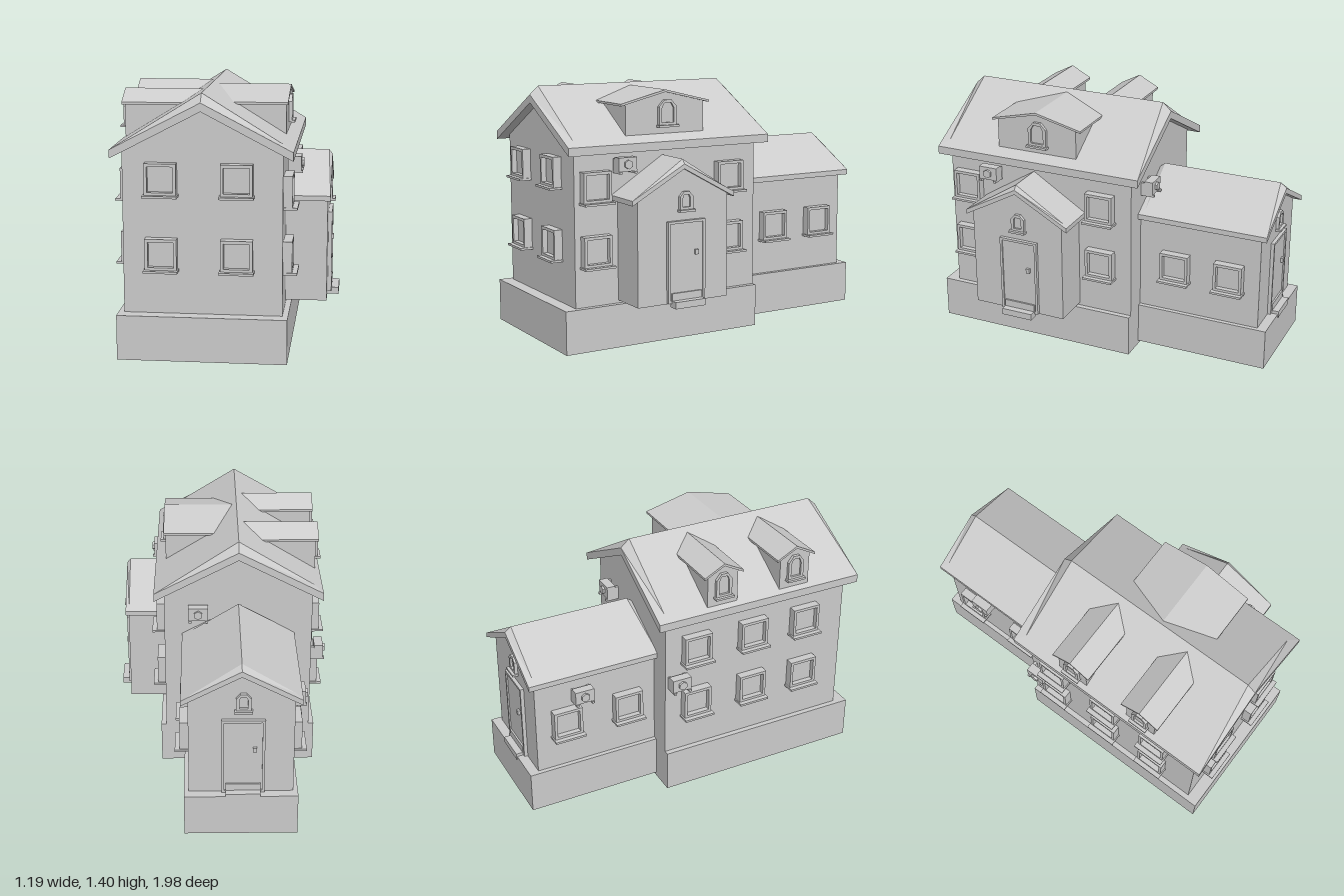
import * as THREE from 'three';

const material = new THREE.MeshStandardMaterial({ color: 0xcccccc, flatShading: true });

function mesh(geometry, name, x = 0, y = 0, z = 0) {
  const m = new THREE.Mesh(geometry, material);
  m.name = name;
  m.position.set(x, y, z);
  return m;
}

// Box spanning two opposite corners
function box(name, x0, x1, y0, y1, z0, z1) {
  return mesh(new THREE.BoxGeometry(x1 - x0, y1 - y0, z1 - z0), name,
    (x0 + x1) / 2, (y0 + y1) / 2, (z0 + z1) / 2);
}

function group(name, ...children) {
  const g = new THREE.Group();
  g.name = name;
  g.add(...children);
  return g;
}

// Every part is made facing +z, then turned towards its wall
const FRONT = 0, LEFT = Math.PI / 2, BACK = Math.PI, RIGHT = -Math.PI / 2;
function place(part, x, y, z, facing) {
  part.position.set(x, y, z);
  part.rotation.y = facing;
  return part;
}

function extrude(points, depth, hole) {
  const shape = new THREE.Shape(points.map(p => new THREE.Vector2(...p)));
  if (hole) shape.holes.push(new THREE.Path(hole.map(p => new THREE.Vector2(...p))));
  return new THREE.ExtrudeGeometry(shape, { depth, bevelEnabled: false });
}

// Gable roof slab from z = 0 back to z = -length; top edges bevelled by inset
function roof({ half, length, apex, drop = 0, under, eaveTop, eaveBottom, inset = 0 }) {
  const apexEnd = apex - drop;
  const rise = eaveTop + (apex - eaveTop) * inset / half;
  const section = (z, top, x, y) => [
    [-half, eaveBottom, z], [-half, eaveTop, z], [-x, y, z], [0, top, z],
    [x, y, z], [half, eaveTop, z], [half, eaveBottom, z], [0, under, z]];
  const end = z => section(z, apexEnd, half, eaveTop);
  const mid = z => section(z, apex, half - inset, rise);
  const sections = [end(0), mid(-inset), mid(-length + inset), end(-length)];
  const pos = [];
  const quad = (a, b, c, d) => pos.push(...a, ...b, ...c, ...a, ...c, ...d);
  for (let i = 0; i < 3; i++) {
    for (let j = 0; j < 8; j++) {
      const k = (j + 1) % 8, s = sections[i], t = sections[i + 1];
      quad(s[j], s[k], t[k], t[j]);
    }
  }
  for (const ids of [[0, 7, 3, 1], [7, 6, 5, 3]]) {
    quad(...ids.map(i => sections[0][i]));
    quad(...[...ids].reverse().map(i => sections[3][i]));
  }
  const g = new THREE.BufferGeometry();
  g.setAttribute('position', new THREE.Float32BufferAttribute(pos, 3));
  g.computeVertexNormals();
  return mesh(g, 'roof');
}

// Gabled wall block with its roof; front wall at z = 0, roof overhangs it
function gabledBlock(name, { wallHalf, depth, base, overhang, ...r }) {
  const wallTop = r.under - (r.under - r.eaveBottom) * wallHalf / r.half;
  const walls = mesh(extrude([[-wallHalf, base], [wallHalf, base], [wallHalf, wallTop],
    [0, r.under], [-wallHalf, wallTop]], depth), 'walls', 0, 0, -depth);
  const top = roof(r);
  top.position.z = overhang;
  return group(name, walls, top);
}

const square = h => [[-h, -h], [h, -h], [h, h], [-h, h]];

// Square window, centred
function squareWindow() {
  return group('window',
    mesh(extrude(square(0.083), 0.047, square(0.067)), 'windowFrame'),
    box('windowPane', -0.07, 0.07, -0.07, 0.07, -0.01, 0.018),
    box('windowSill', -0.09, 0.09, -0.093, -0.081, 0, 0.073));
}

// Small window with a pointed top, standing on y = 0
function pointedWindow(w, h) {
  const outline = t => [[-w / 2 + t, t], [w / 2 - t, t], [w / 2 - t, h * 0.74 - t / 2],
    [w * 0.2, h - t], [-w * 0.2, h - t], [-w / 2 + t, h * 0.74 - t / 2]];
  return group('gableWindow',
    mesh(extrude(outline(0), 0.018, outline(0.017)), 'windowFrame'),
    mesh(extrude(outline(0.01), 0.006), 'windowPane'),
    box('windowSill', -w / 2 - 0.008, w / 2 + 0.008, -0.008, 0.004, 0, 0.034));
}

// Door with frame, knob and step
function door() {
  const frame = t => [[-0.115, 0.26], [0.115, 0.26], [0.115, 0.705], [-0.115, 0.705]]
    .map(([x, y]) => [x - Math.sign(x) * t, y > 0.5 ? y - t : y + t]);
  return group('door',
    mesh(extrude(frame(0), 0.02, frame(0.014)), 'doorFrame'),
    mesh(extrude(frame(0.01), 0.012), 'doorPanel'),
    box('doorKnob', 0.05, 0.072, 0.515, 0.542, 0.01, 0.027),
    box('upperStep', -0.093, 0.093, 0.25, 0.315, 0, 0.022),
    box('lowerStep', -0.093, 0.093, 0.238, 0.275, 0, 0.06));
}

// Wall-mounted air conditioner with a six-sided fan
function airConditioner() {
  const fan = new THREE.CylinderGeometry(0.025, 0.025, 0.02, 6);
  fan.rotateX(Math.PI / 2);
  const unit = group('airConditioner',
    box('casing', -0.055, 0.055, -0.035, 0.04, 0.02, 0.07),
    mesh(fan, 'fan', 0, 0.003, 0.073));
  for (const s of [-1, 1]) {
    unit.add(box('bracketArm', s * 0.045 - 0.008, s * 0.045 + 0.008, -0.047, -0.035, 0, 0.078),
      box('bracketPlate', s * 0.045 - 0.008, s * 0.045 + 0.008, -0.047, 0.03, 0, 0.022));
  }
  return unit;
}

export function createModel() {
  const house = new THREE.Group();
  house.name = 'house';
  const cx = -0.1;

  // Foundations
  house.add(box('mainFoundation', -0.545, 0.345, 0, 0.24, -0.21, 0.997),
    box('wingFoundation', cx - 0.305, cx + 0.305, 0.02, 0.257, -0.98, -0.2));

  // Main block, rear wing and side porch
  house.add(place(gabledBlock('mainBlock', {
    wallHalf: 0.415, depth: 1.135, base: 0.23, overhang: 0.055, half: 0.47, length: 1.25,
    apex: 1.4, drop: 0.045, under: 1.31, eaveTop: 1.11, eaveBottom: 1.065, inset: 0.05,
  }), cx, 0, 0.925, FRONT));
  house.add(place(gabledBlock('rearWing', {
    wallHalf: 0.28, depth: 0.73, base: 0.25, overhang: 0.04, half: 0.317, length: 0.76,
    apex: 1.035, drop: 0.028, under: 0.975, eaveTop: 0.838, eaveBottom: 0.808, inset: 0.035,
  }), cx, 0, -0.925, BACK));
  house.add(place(gabledBlock('sidePorch', {
    wallHalf: 0.278, depth: 0.26, base: 0.256, overhang: 0.015, half: 0.315, length: 0.27,
    apex: 1.033, drop: 0.025, under: 0.982, eaveTop: 0.835, eaveBottom: 0.808, inset: 0.02,
  }), 0.535, 0, 0.39, LEFT));

  // Dormers
  house.add(place(gabledBlock('wideDormer', {
    wallHalf: 0.243, depth: 0.34, base: 1.13, overhang: 0.01, half: 0.275, length: 0.4,
    apex: 1.385, under: 1.372, eaveTop: 1.318, eaveBottom: 1.306,
  }), 0.31, 0, 0.37, LEFT));
  house.add(place(pointedWindow(0.11, 0.14), 0.31, 1.19, 0.36, LEFT));
  for (const z of [0.12, 0.57]) {
    house.add(place(gabledBlock('narrowDormer', {
      wallHalf: 0.092, depth: 0.38, base: 1.11, overhang: 0.015, half: 0.118, length: 0.43,
      apex: 1.378, under: 1.364, eaveTop: 1.316, eaveBottom: 1.303,
    }), -0.542, 0, z, RIGHT));
    house.add(place(pointedWindow(0.095, 0.14), -0.542, 1.18, z, RIGHT));
  }

  // Main block windows
  const addWindow = (x, y, z, facing) => house.add(place(squareWindow(), x, y, z, facing));
  for (const y of [0.562, 0.957]) {
    for (const x of [-0.313, 0.08]) addWindow(x, y, 0.925, FRONT);
  }
  for (const y of [0.545, 0.89]) {
    for (const z of [0.807, -0.027]) addWindow(0.315, y, z, LEFT);
    for (const z of [-0.027, 0.325, 0.66]) addWindow(-0.515, y, z, RIGHT);
  }
  // Wing windows
  for (const z of [-0.43, -0.75]) addWindow(0.18, 0.545, z, LEFT);
  for (const z of [-0.385, -0.75]) addWindow(-0.38, 0.545, z, RIGHT);

  // Doors with a gable window above each
  for (const [x, z, facing] of [[0.535, 0.378, LEFT], [-0.11, -0.925, BACK]]) {
    house.add(place(door(), x, 0, z, facing));
    house.add(place(pointedWindow(0.08, 0.1), x, 0.76, z, facing));
  }

  // Air conditioners
  house.add(place(airConditioner(), 0.325, 1.003, 0.645, LEFT),
    place(airConditioner(), 0.125, 0.985, -0.21, BACK),
    place(airConditioner(), -0.515, 0.705, -0.14, RIGHT),
    place(airConditioner(), -0.38, 0.705, -0.66, RIGHT));
  return house;
}
